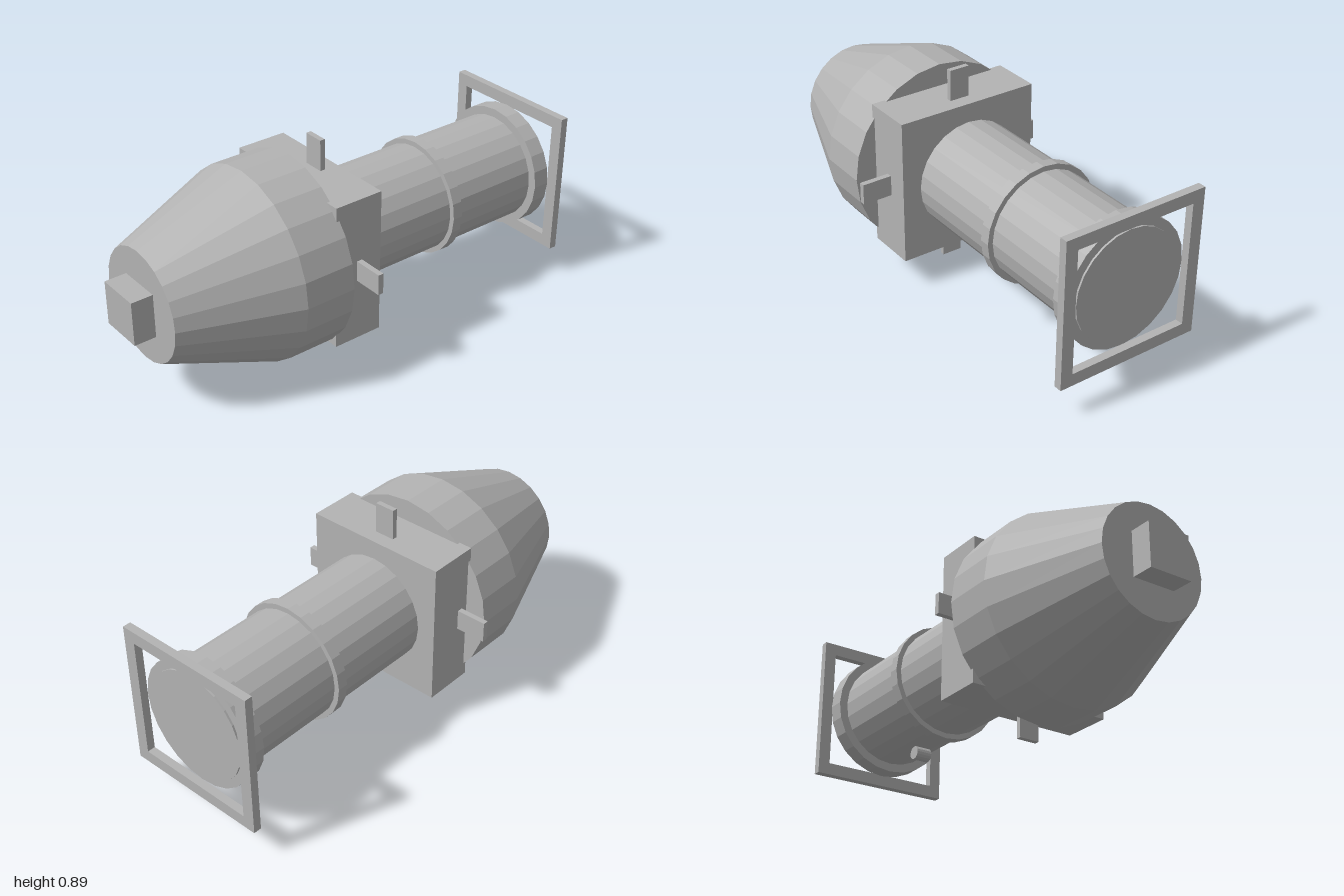
import * as THREE from 'three';

export function createModel() {
  const model = new THREE.Group();
  const grey = new THREE.MeshStandardMaterial({ color: 0xb3b3b3, flatShading: true });
  grey.name = 'grey';
  const AXIS = 0.447; // height of the long axis
  const SIDES = 24;

  const add = (name, geometry, x = 0, y = AXIS, z = 0) => {
    const mesh = new THREE.Mesh(geometry, grey);
    mesh.name = name;
    mesh.position.set(x, y, z);
    model.add(mesh);
    return mesh;
  };
  const box = (name, w, h, d, x, y, z) => add(name, new THREE.BoxGeometry(w, h, d), x, y, z);
  // Solid of revolution along z, given as [radius, z] from back to front
  const turned = (name, profile) => {
    const points = profile.map(([r, z]) => new THREE.Vector2(r, z));
    return add(name, new THREE.LatheGeometry(points, SIDES).rotateX(Math.PI / 2));
  };

  // Tapered nose with a square plug
  turned('noseCone', [[0, 0.219], [0.408, 0.219], [0.408, 0.438], [0.235, 0.908], [0, 0.908]]);
  box('nosePlug', 0.188, 0.186, 0.1, 0, AXIS, 0.95);

  // Square middle block
  box('middleBlock', 0.628, 0.626, 0.218, 0, AXIS, 0.124);

  // Rear tube with its collars
  turned('rearTube', [[0, -0.968], [0.233, -0.968], [0.233, 0.03], [0, 0.03]]);
  turned('middleCollar', [[0, -0.474], [0.255, -0.474], [0.255, -0.429], [0, -0.429]]);
  turned('endCollar', [[0, -0.96], [0.27, -0.96], [0.27, -0.885], [0, -0.885]]);

  // Small staggered tabs around the block
  box('topTab', 0.088, 0.15, 0.022, 0, 0.817, 0.088);
  box('bottomTab', 0.088, 0.15, 0.022, 0, 0.075, 0.15);
  box('leftTab', 0.15, 0.088, 0.024, 0.368, AXIS, 0.119);
  box('rightTab', 0.15, 0.088, 0.024, -0.37, AXIS, 0.178);

  // Small cross pin under the tube
  add('crossPin', new THREE.CylinderGeometry(0.029, 0.029, 0.07, 16).rotateZ(Math.PI / 2), 0, 0.18, -0.627);

  // Open square frame at the rear
  const square = (path, s) => path.moveTo(-s, -s).lineTo(s, -s).lineTo(s, s).lineTo(-s, s).closePath();
  const frame = new THREE.Shape();
  square(frame, 0.314);
  const hole = new THREE.Path();
  square(hole, 0.262);
  frame.holes.push(hole);
  add('rearFrame', new THREE.ExtrudeGeometry(frame, { depth: 0.034, bevelEnabled: false }), 0, AXIS, -1);

  return model;
}
